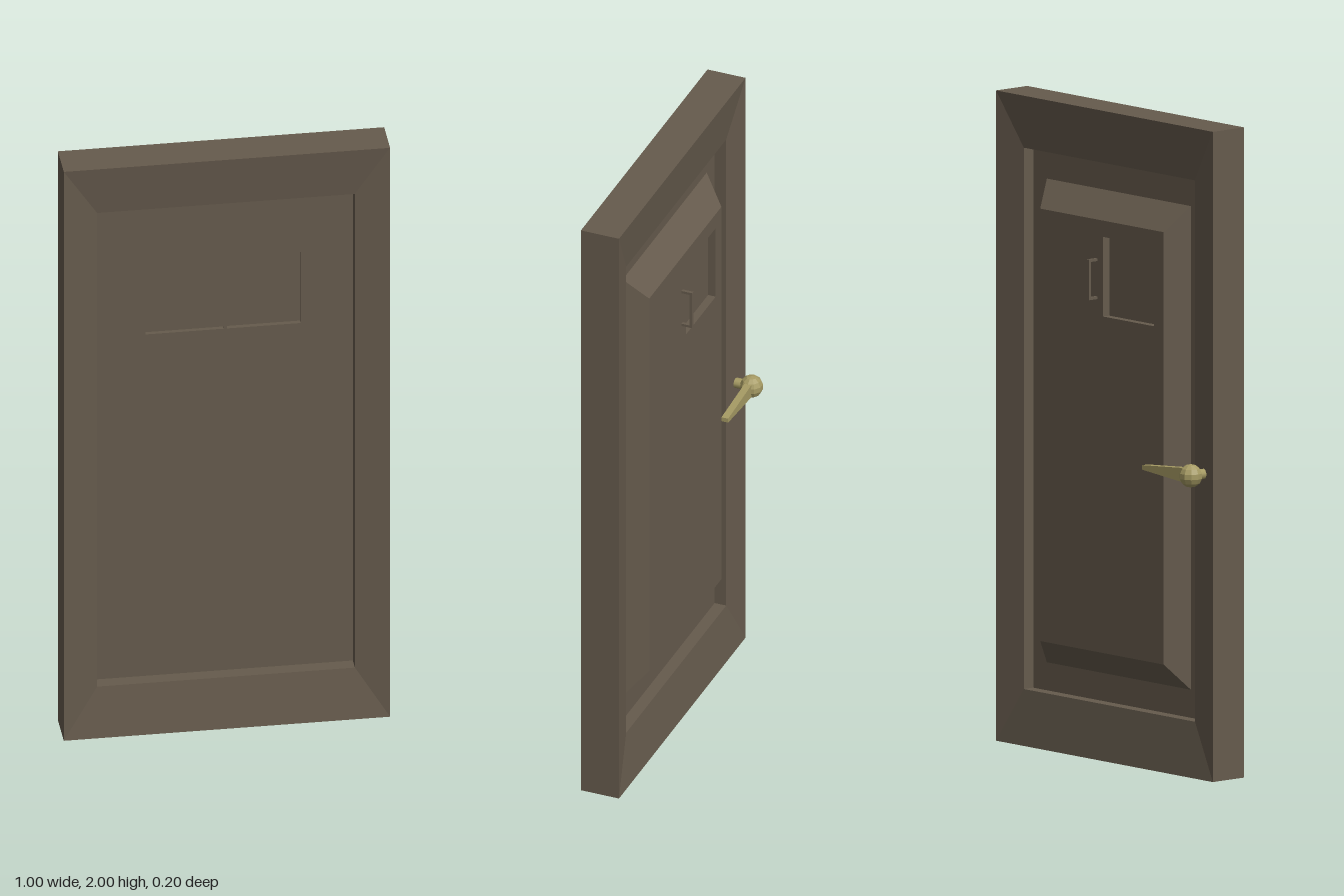
import * as THREE from 'three';

const wood = new THREE.MeshStandardMaterial({ color: 0x665b4d });
wood.name = 'brown wood';
const brass = new THREE.MeshStandardMaterial({ color: 0xa59a63 });
brass.name = 'brass';

function add(parent, name, geometry, material, x = 0, y = 0, z = 0) {
  const mesh = new THREE.Mesh(geometry, material);
  mesh.name = name;
  mesh.position.set(x, y, z);
  parent.add(mesh);
  return mesh;
}

// Skin running through rectangular rings, each [halfWidth, bottom, top, z]
function rectLoft(rings) {
  const corners = rings.map(([w, b, t, z]) => [[-w, b, z], [w, b, z], [w, t, z], [-w, t, z]]);
  const pos = [];
  for (let r = 0; r < rings.length - 1; r++) {
    for (let i = 0; i < 4; i++) {
      const j = (i + 1) % 4;
      const a = corners[r][i], b = corners[r][j], c = corners[r + 1][j], d = corners[r + 1][i];
      pos.push(...a, ...d, ...c, ...a, ...c, ...b);
    }
  }
  const g = new THREE.BufferGeometry();
  g.setAttribute('position', new THREE.Float32BufferAttribute(pos, 3));
  g.computeVertexNormals();
  return g;
}

function rect(Type, x0, x1, y0, y1) {
  const p = new Type();
  p.moveTo(x0, y0);
  p.lineTo(x1, y0);
  p.lineTo(x1, y1);
  p.lineTo(x0, y1);
  p.closePath();
  return p;
}

// Flat plate with rectangular openings, from z0 to z1
function plate(halfWidth, bottom, top, z0, z1, holes) {
  const shape = rect(THREE.Shape, -halfWidth, halfWidth, bottom, top);
  shape.holes = holes.map(h => rect(THREE.Path, ...h));
  return new THREE.ExtrudeGeometry(shape, { depth: z1 - z0, bevelEnabled: false }).translate(0, 0, z0);
}

export function createModel() {
  const door = new THREE.Group();
  door.name = 'door';

  // Mitred frame, sloping in towards the opening on both sides
  const opening = [0.395, 0.17, 1.835];
  add(door, 'frame', rectLoft([
    [...opening, 0.033], [...opening, 0.08],
    [0.5, 0, 2, 0.1], [0.5, 0, 2, -0.025],
    [...opening, -0.005], [...opening, 0.038],
  ]), wood);

  // Front panel with window opening and the narrow shutter slit
  const frontWindow = [0.01, 0.235, 1.37, 1.62];
  const slit = [-0.24, 0.0, 1.37, 1.378];
  add(door, 'frontPanel', plate(0.396, 0.169, 1.836, 0.033, 0.037, [frontWindow, slit]), wood);
  add(door, 'frontWindowLining', plate(0.3, 1.3, 1.69, 0.022, 0.033, [frontWindow, slit]), wood);

  // Raised back panel: sloped sides and a face with its own window
  const backWindow = [-0.24, -0.005, 1.37, 1.615];
  add(door, 'raisedPanelSides', rectLoft([[0.333, 0.255, 1.745, 0.034], [0.285, 0.335, 1.665, -0.035]]), wood);
  add(door, 'raisedPanelFace', plate(0.285, 0.335, 1.665, -0.035, -0.01, [backWindow]), wood);

  // Sliding shutter between the two panels, closing both windows
  add(door, 'shutter', new THREE.BoxGeometry(0.54, 0.262, 0.032), wood, 0, 1.509, 0.006);

  // Shutter pull
  const pull = new THREE.Group();
  pull.name = 'shutterPull';
  door.add(pull);
  add(pull, 'pullGrip', new THREE.BoxGeometry(0.01, 0.125, 0.009), wood, 0.025, 1.483, -0.0655);
  for (const y of [1.4245, 1.5415]) {
    add(pull, 'pullArm', new THREE.BoxGeometry(0.01, 0.008, 0.028), wood, 0.025, y, -0.048);
  }

  // Brass lever: neck, faceted knob and tapering arm
  const lever = new THREE.Group();
  lever.name = 'leverHandle';
  lever.position.set(-0.446, 0.94, -0.067);
  door.add(lever);
  const knob = new THREE.SphereGeometry(0.036, 10, 7).toNonIndexed();
  knob.computeVertexNormals();
  add(lever, 'knob', knob, brass);
  add(lever, 'neck', new THREE.CylinderGeometry(0.016, 0.016, 0.05, 10).rotateX(Math.PI / 2), brass, 0, 0, 0.028);
  const arm = new THREE.Shape();
  arm.moveTo(0, -0.024);
  arm.lineTo(0.211, -0.007);
  arm.lineTo(0.211, 0.007);
  arm.lineTo(0, 0.024);
  arm.closePath();
  add(lever, 'arm', new THREE.ExtrudeGeometry(arm, { depth: 0.022, bevelEnabled: false }), brass, 0, 0, -0.011);

  return door;
}
